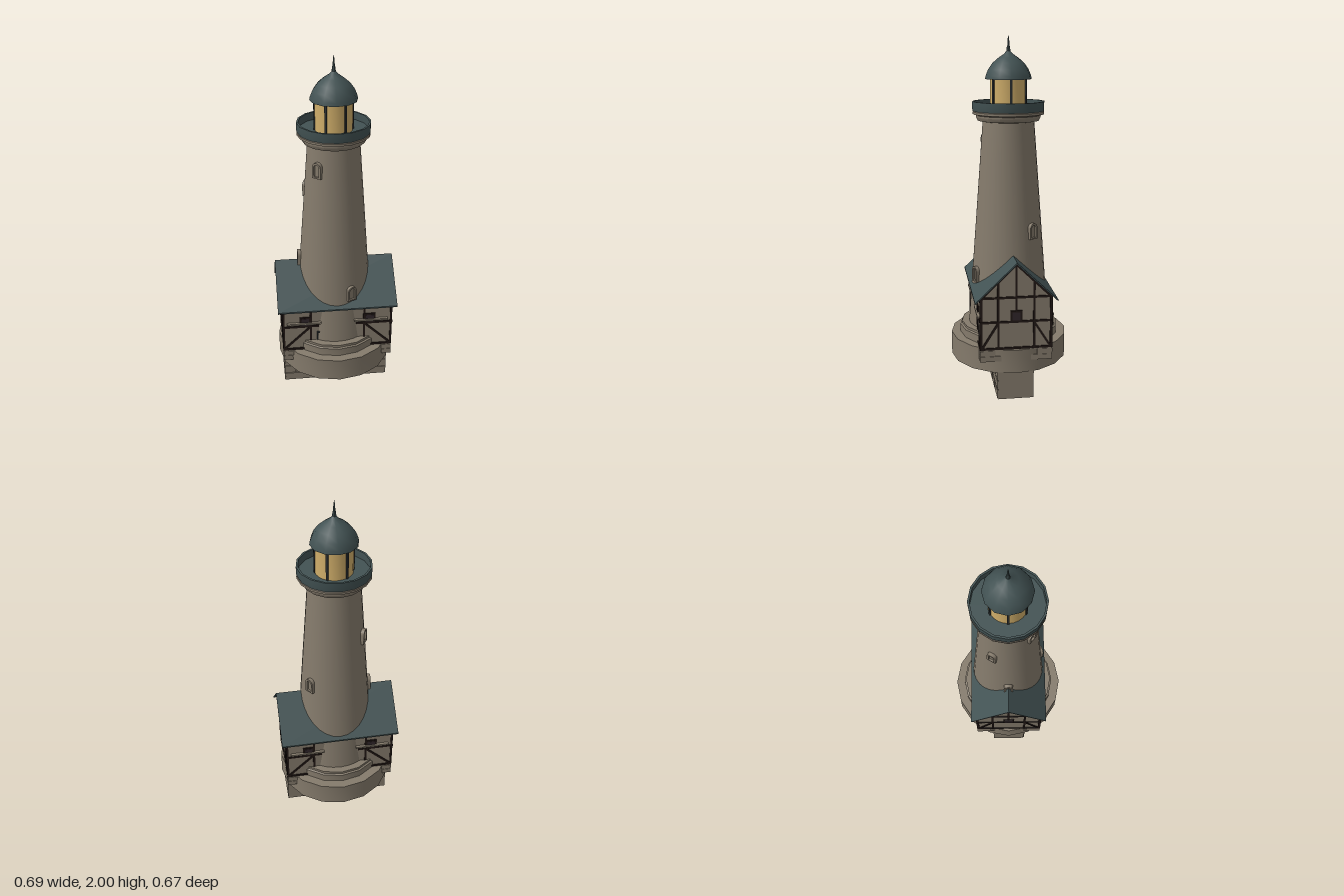
import * as THREE from 'three';
import { toCreasedNormals } from 'three/addons/utils/BufferGeometryUtils.js';

const material = (name, color, side = THREE.FrontSide) => {
  const m = new THREE.MeshStandardMaterial({ color, side });
  m.name = name;
  return m;
};

export function createModel() {
  const stone = material('stone', 0x857b6c);
  const slate = material('slate', 0x425253, THREE.DoubleSide);
  const timber = material('darkTimber', 0x211714);
  const glass = material('lampGlass', 0xd0ae6a);
  const pane = material('windowPane', 0x30262a);
  const iron = material('iron', 0x2b2f30);

  const model = new THREE.Group();
  model.name = 'lighthouse';

  const add = (name, geometry, mat, parent = model) => {
    const mesh = new THREE.Mesh(geometry, mat);
    mesh.name = name;
    parent.add(mesh);
    return mesh;
  };
  // Box given by its size and centre
  const box = (name, w, h, d, x, y, z, mat, parent) => {
    const mesh = add(name, new THREE.BoxGeometry(w, h, d), mat, parent);
    mesh.position.set(x, y, z);
    return mesh;
  };
  // Turned part: profile of [radius, height] from the bottom up
  const lathe = (name, profile, mat, sides = 16) =>
    add(name, toCreasedNormals(new THREE.LatheGeometry(
      profile.map(([r, y]) => new THREE.Vector2(r, y)), sides), 0.55), mat);

  // Footing with courses of masonry on the front
  box('footing', 0.63, 0.17, 0.2, 0, 0.085, 0, stone);
  const course = 0.055, brick = 0.126, joint = 0.007;
  for (let row = 0; row < 3; row++) {
    const shift = row % 2 ? brick / 2 : 0;
    for (let i = -1; i < 5; i++) {
      const x0 = Math.max(-0.315, -0.315 + i * brick + shift);
      const x1 = Math.min(0.315, -0.315 + (i + 1) * brick + shift);
      if (x1 - x0 < 0.01) continue;
      box('footingBrick', x1 - x0 - joint, course - joint, 0.008,
        (x0 + x1) / 2, (row + 0.5) * course, 0.102, stone);
    }
  }

  // Round platform, step and tapering tower
  lathe('platform', [[0, 0.163], [0.337, 0.163], [0.337, 0.297], [0, 0.297]], stone);
  lathe('step', [[0.285, 0.29], [0.285, 0.343], [0.275, 0.348], [0.275, 0.362], [0.2, 0.362]], stone);
  const towerRadius = (y) => 0.233 - (y - 0.36) * 0.0752;
  lathe('tower', [[towerRadius(0.3), 0.3], [towerRadius(1.54), 1.54]], stone, 32);

  // Gallery cornice, parapet and floor
  lathe('cornice', [[0.14, 1.53], [0.172, 1.535], [0.183, 1.555], [0.183, 1.565],
    [0.202, 1.572], [0.202, 1.584], [0.19, 1.592], [0, 1.592]], stone);
  lathe('parapet', [[0.18, 1.588], [0.2, 1.588], [0.203, 1.6], [0.203, 1.641],
    [0.192, 1.641], [0.192, 1.597], [0, 1.597]], slate);

  // Lamp room
  lathe('lampRoom', [[0.103, 1.595], [0.103, 1.775]], glass, 24);
  for (let i = 0; i < 6; i++) {
    const a = Math.PI / 6 + i * Math.PI / 3;
    const bar = box('mullion', 0.013, 0.175, 0.013,
      0.102 * Math.sin(a), 1.685, 0.102 * Math.cos(a), iron);
    bar.rotation.y = a;
  }

  // Dome and spire
  lathe('dome', [[0, 1.765], [0.13, 1.762], [0.127, 1.78], [0.113, 1.815], [0.088, 1.85],
    [0.055, 1.878], [0.025, 1.898], [0.01, 1.915]], slate, 12);
  lathe('spire', [[0.012, 1.905], [0.009, 1.935], [0.006, 1.945], [0.004, 1.98], [0, 2]], slate, 8);

  // Arched tower windows, winding round the shaft
  const arch = (Path, half, bottom, spring) => new Path()
    .moveTo(-half, bottom).lineTo(half, bottom).lineTo(half, spring)
    .absarc(0, spring, half, 0, Math.PI, false).lineTo(-half, bottom);
  const frameShape = arch(THREE.Shape, 0.027, -0.045, 0.018);
  frameShape.holes.push(arch(THREE.Path, 0.016, -0.037, 0.018));
  const frameGeometry = new THREE.ExtrudeGeometry(frameShape, { depth: 0.03, bevelEnabled: false, curveSegments: 6 });
  const fillGeometry = new THREE.ExtrudeGeometry(arch(THREE.Shape, 0.017, -0.038, 0.018),
    { depth: 0.019, bevelEnabled: false, curveSegments: 6 });
  for (const [degrees, y] of [[22, 0.67], [-90, 0.82], [126, 0.93], [-121, 1.22], [-40, 1.41]]) {
    const window = new THREE.Group();
    window.name = 'towerWindow';
    const a = THREE.MathUtils.degToRad(degrees), r = towerRadius(y) - 0.014;
    window.position.set(r * Math.sin(a), y, r * Math.cos(a));
    window.rotation.y = a;
    add('windowFrame', frameGeometry, stone, window);
    add('windowFill', fillGeometry, stone, window);
    model.add(window);
  }

  // Cross house with gabled walls and a thin pitched roof
  const alongX = (name, points, length, mat) => {
    const shape = new THREE.Shape(points.map(([z, y]) => new THREE.Vector2(z, y)));
    const geometry = new THREE.ExtrudeGeometry(shape, { depth: length, bevelEnabled: false });
    geometry.translate(0, 0, -length / 2).rotateY(Math.PI / 2);
    return add(name, geometry, mat);
  };
  alongX('houseWalls', [[-0.198, 0.295], [0.198, 0.295], [0.198, 0.597], [0, 0.793], [-0.198, 0.597]], 0.634, stone);
  alongX('roof', [[-0.23, 0.575], [0, 0.792], [0.23, 0.575], [0.23, 0.584], [0, 0.803], [-0.23, 0.584]], 0.692, slate);

  // Timber framing, drawn in the plane of each wall
  const wall = (name, angle, distance) => {
    const group = new THREE.Group();
    group.name = name;
    group.rotation.y = angle;
    group.position.set(distance * Math.sin(angle), 0, distance * Math.cos(angle));
    model.add(group);
    return group;
  };
  const beam = (parent, x0, y0, x1, y1) => {
    const b = box('beam', Math.hypot(x1 - x0, y1 - y0), 0.012, 0.009,
      (x0 + x1) / 2, (y0 + y1) / 2, 0, timber, parent);
    b.rotation.z = Math.atan2(y1 - y0, x1 - x0);
  };
  const smallWindow = (parent, x) => {
    box('windowSurround', 0.066, 0.066, 0.009, x, 0.492, 0.001, timber, parent);
    box('windowGlass', 0.046, 0.046, 0.004, x, 0.492, 0.005, pane, parent);
  };

  for (const angle of [0, Math.PI]) {
    const side = wall('longWallFraming', angle, 0.199);
    beam(side, -0.32, 0.6, 0.32, 0.6);
    for (const s of [-1, 1]) {
      beam(side, s * 0.325, 0.46, s * 0.11, 0.46);
      beam(side, s * 0.32, 0.306, s * 0.157, 0.306);
      beam(side, s * 0.316, 0.3, s * 0.316, 0.6);
      beam(side, s * 0.157, 0.3, s * 0.157, 0.6);
      beam(side, s * 0.16, 0.455, s * 0.312, 0.31);
      smallWindow(side, s * 0.19);
      // Slim ledge across the window
      box('windowLedge', 0.2, 0.011, 0.022, s * 0.195, 0.484, 0.004, stone, side);
    }
  }
  for (const angle of [Math.PI / 2, -Math.PI / 2]) {
    const end = wall('gableFraming', angle, 0.318);
    for (const y of [0.306, 0.46, 0.6]) beam(end, -0.2, y, 0.2, y);
    beam(end, 0, 0.52, 0, 0.785);
    for (const s of [-1, 1]) {
      beam(end, s * 0.194, 0.3, s * 0.194, 0.6);
      beam(end, s * 0.1, 0.3, s * 0.1, 0.69);
      beam(end, s * 0.196, 0.596, 0, 0.788);
      beam(end, s * 0.1, 0.455, s * 0.19, 0.31);
    }
    smallWindow(end, 0);
  }

  // Corner stones under the house
  for (const sx of [-1, 1]) for (const sz of [-1, 1]) {
    for (const [y, lx, lz] of [[0.279, 0.068, 0.085], [0.246, 0.055, 0.12]]) {
      box('cornerStone', lx, 0.03, lz, sx * (0.321 - lx / 2), y, sz * (0.203 - lz / 2), stone);
    }
    box('cornerCore', 0.05, 0.065, 0.08, sx * 0.293, 0.264, sz * 0.16, stone);
  }

  // Small bracket beside the front of the tower
  box('bracketPost', 0.008, 0.05, 0.01, -0.117, 0.39, 0.203, iron);
  box('bracketArm', 0.016, 0.008, 0.01, -0.113, 0.416, 0.203, iron);

  return model;
}
